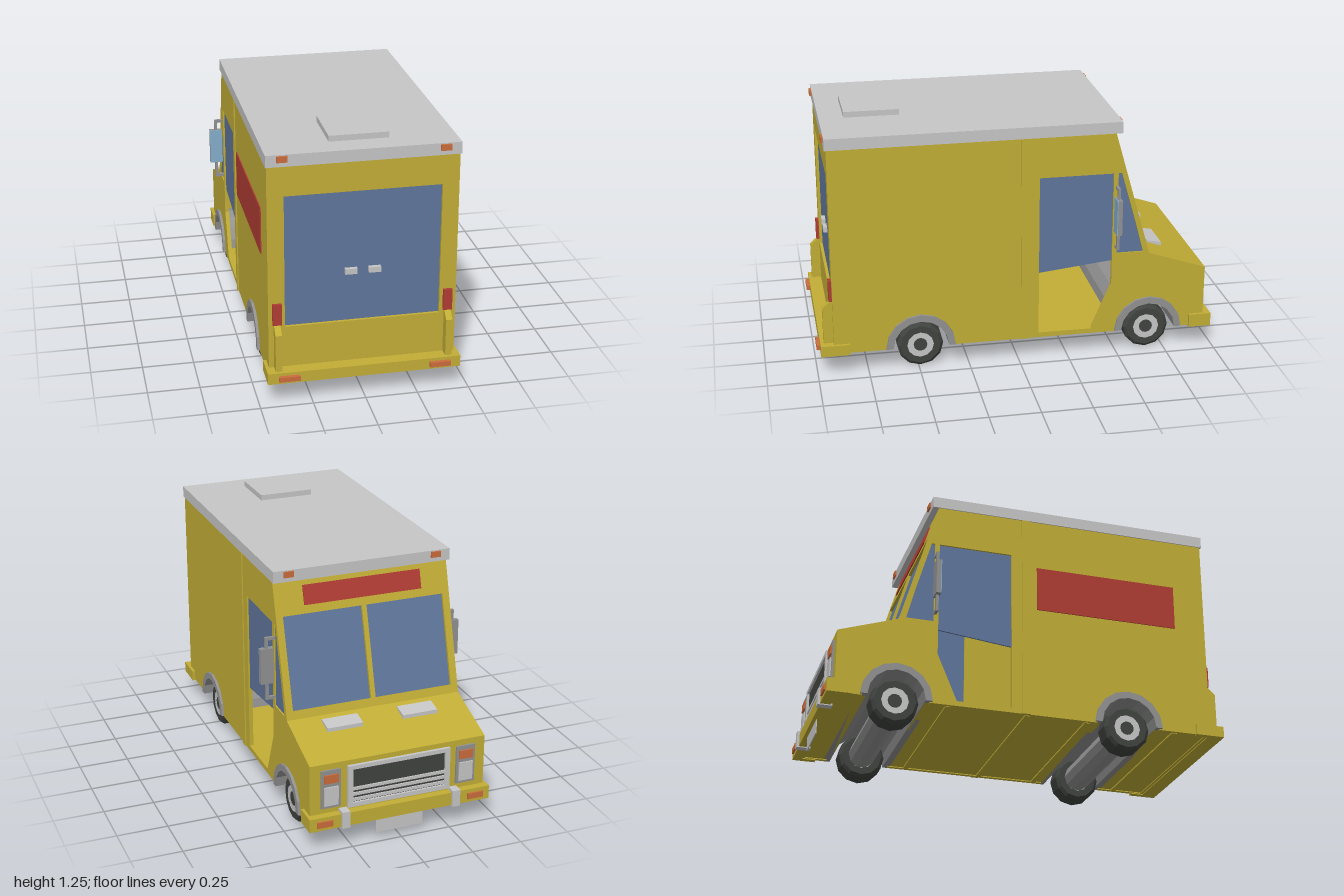
import * as THREE from 'three';

const mat = (name, color) => {
  const m = new THREE.MeshStandardMaterial({ color });
  m.name = name;
  return m;
};

export function createModel() {
  const yellow = mat('bodyYellow', 0xc2ae36);
  const light = mat('lightGrey', 0xc6c6c6);
  const grey = mat('midGrey', 0x929292);
  const dark = mat('tyreDark', 0x40433f);
  const glass = mat('windowBlue', 0x60769c);
  const mirrorBlue = mat('mirrorBlue', 0x86aecb);
  const red = mat('signRed', 0xb03c34);
  const orange = mat('lampOrange', 0xcb6d3c);

  const van = new THREE.Group();
  van.name = 'stepVan';

  const add = (name, geo, material, parent = van) => {
    const mesh = new THREE.Mesh(geo, material);
    mesh.name = name;
    parent.add(mesh);
    return mesh;
  };
  // Box given by its extents
  const box = (name, m, x0, x1, y0, y1, z0, z1, parent = van) => {
    const g = new THREE.BoxGeometry(x1 - x0, y1 - y0, z1 - z0);
    g.translate((x0 + x1) / 2, (y0 + y1) / 2, (z0 + z1) / 2);
    return add(name, g, m, parent);
  };
  // Pair of boxes mirrored across x = 0
  const pair = (name, m, x0, x1, ...rest) => {
    box(name + 'Left', m, x0, x1, ...rest);
    box(name + 'Right', m, -x1, -x0, ...rest);
  };
  const toShape = (pts) => new THREE.Shape(pts.map(([a, b]) => new THREE.Vector2(a, b)));
  const extrude = (pts, holes, depth) => {
    const s = toShape(pts);
    holes.forEach((h) => s.holes.push(toShape(h)));
    return new THREE.ExtrudeGeometry(s, { depth, bevelEnabled: false });
  };
  // Extrude a (z, y) profile between two x positions
  const slab = (name, m, pts, x0, x1, holes = []) =>
    add(name, extrude(pts, holes, x1 - x0).rotateY(-Math.PI / 2).translate(x1, 0, 0), m);
  const rect = (x0, x1, y0, y1) => [[x0, y0], [x1, y0], [x1, y1], [x0, y1]];
  const flat = (g) => {
    const n = g.toNonIndexed();
    n.computeVertexNormals();
    return n;
  };

  // Side walls with wheel cut-outs, door opening and quarter window
  const axles = [0.49, -0.66], axleY = 0.12;
  const arc = (cz, r, from, to) => Array.from({ length: 9 }, (_, i) => {
    const a = from + (to - from) * i / 8;
    return [cz + r * Math.cos(a), axleY + r * Math.sin(a)];
  });
  const wall = [
    [0.915, 0.115], [0.915, 1.17], [-0.47, 1.17], [-0.655, 0.53], [-0.95, 0.43], [-0.95, 0.115],
    [-0.82, 0.115], ...arc(-0.66, 0.16, Math.PI, 0), [-0.5, 0.115],
    [0.33, 0.115], ...arc(0.49, 0.16, Math.PI, 0), [0.65, 0.115],
  ];
  const door = [[-0.1, 0.14], [-0.1, 0.96], [-0.467, 0.96], [-0.467, 0.37], [-0.37, 0.14]];
  const quarter = [[-0.49, 0.54], [-0.49, 0.96], [-0.512, 0.96], [-0.625, 0.54]];
  const doorGlass = [[-0.09, 0.46], [-0.09, 0.97], [-0.475, 0.97], [-0.475, 0.502]];
  for (const s of [1, -1]) {
    const side = s > 0 ? 'Left' : 'Right';
    const span = (a, b) => (s > 0 ? [a, b] : [-b, -a]);
    slab('sideWall' + side, yellow, wall, ...span(0.425, 0.445), [door, quarter]);
    slab('doorWindow' + side, glass, doorGlass, ...span(0.428, 0.436));
    slab('quarterWindow' + side, glass, quarter, ...span(0.43, 0.438));
    box('doorPost' + side, yellow, ...span(0.44, 0.451), 0.115, 1.165, -0.047, -0.01);
    // Upright brackets carrying the tail lights
    slab('tailBracket' + side, yellow,
      [[0.91, 0.16], [0.965, 0.16], [0.965, 0.35], [0.91, 0.4]], ...span(0.39, 0.42));
    // Door mirrors
    const [mx0, mx1] = span(0.45, 0.515);
    box('mirrorHousing' + side, grey, mx0, mx1, 0.66, 0.84, -0.497, -0.475);
    box('mirrorGlass' + side, mirrorBlue, mx0, mx1, 0.66, 0.84, -0.475, -0.471);
    box('mirrorBar' + side, grey, ...span(0.475, 0.49), 0.575, 0.895, -0.492, -0.478);
    for (const y of [0.575, 0.88])
      box('mirrorArm' + side, grey, ...span(0.435, 0.476), y, y + 0.015, -0.492, -0.478);
  }
  slab('sideSign', red, rect(0.03, 0.755, 0.675, 0.905), -0.45, -0.444);

  // Rear wall with window and handles
  add('rearWall', extrude(rect(-0.445, 0.445, 0.115, 1.17), [rect(-0.367, 0.367, 0.37, 1.02)], 0.025)
    .translate(0, 0, 0.892), yellow);
  box('rearWindow', glass, -0.37, 0.37, 0.365, 1.025, 0.894, 0.902);
  pair('rearHandle', light, 0.027, 0.084, 0.61, 0.637, 0.9, 0.922);

  // Sloped windscreen panel
  const screen = new THREE.Group();
  screen.name = 'windscreen';
  screen.position.set(0, 0.53, -0.655);
  screen.rotation.x = Math.atan2(0.185, 0.64);
  van.add(screen);
  add('windscreenFrame', extrude(rect(-0.445, 0.445, 0, 0.664),
    [rect(-0.41, -0.012, 0.04, 0.49), rect(0.012, 0.41, 0.04, 0.49)], 0.025).translate(0, 0, -0.002), yellow, screen);
  box('windscreenGlass', glass, -0.42, 0.42, 0.03, 0.5, 0.012, 0.02, screen);
  box('frontSign', red, -0.3, 0.3, 0.53, 0.625, -0.008, -0.001, screen);

  // Bonnet, nose and floor
  slab('bonnet', yellow, [[-0.655, 0.53], [-0.655, 0.51], [-0.95, 0.41], [-0.95, 0.43]], -0.426, 0.426);
  box('nose', yellow, -0.426, 0.426, 0.115, 0.428, -0.95, -0.93);
  for (const [z0, z1] of [[0.63, 0.9], [-0.52, 0.35], [-0.94, -0.8]])
    box('floor', yellow, -0.427, 0.427, 0.12, 0.138, z0, z1);
  for (const z of [-0.42, -0.03, 0.27, 0.72])
    box('floorBeam', yellow, -0.43, 0.43, 0.112, 0.125, z, z + 0.025);
  for (const s of [1, -1])
    slab('bonnetVent', light, [[-0.69, 0.51], [-0.69, 0.527], [-0.765, 0.512], [-0.765, 0.48]],
      s * 0.193 - 0.09, s * 0.193 + 0.09);

  // Roof and hatch
  box('roof', light, -0.45, 0.45, 1.165, 1.222, -0.505, 0.925);
  box('roofHatch', light, -0.14, 0.14, 1.22, 1.25, 0.535, 0.805);
  pair('rearRoofLamp', orange, 0.35, 0.4, 1.188, 1.217, 0.92, 0.935);
  pair('frontRoofLamp', orange, 0.35, 0.4, 1.188, 1.217, -0.513, -0.5);

  // Bumpers and their lamps
  box('rearBumper', yellow, -0.46, 0.46, 0.11, 0.165, 0.905, 0.982);
  pair('rearBumperEnd', yellow, 0.43, 0.46, 0.11, 0.165, 0.84, 0.91);
  pair('rearBumperLamp', orange, 0.31, 0.41, 0.126, 0.15, 0.98, 1.0);
  pair('tailLight', red, 0.383, 0.426, 0.387, 0.492, 0.91, 0.932);
  box('frontBumper', yellow, -0.46, 0.46, 0.11, 0.177, -0.988, -0.94);
  pair('frontBumperEnd', yellow, 0.43, 0.46, 0.11, 0.177, -0.988, -0.875);
  pair('frontBumperLamp', orange, 0.345, 0.425, 0.128, 0.158, -0.997, -0.985);
  pair('bumperGuard', light, 0.262, 0.302, 0.105, 0.19, -1.0, -0.93);
  box('numberPlate', light, -0.12, 0.12, 0.033, 0.105, -0.972, -0.968);

  // Grille and headlights
  add('grilleFrame', extrude(rect(-0.26, 0.26, 0.19, 0.405), [rect(-0.235, 0.235, 0.212, 0.385)], 0.017)
    .translate(0, 0, -0.966), light);
  box('grilleBack', dark, -0.24, 0.24, 0.205, 0.39, -0.955, -0.948);
  for (let i = 0; i < 3; i++)
    box('grilleBar', light, -0.238, 0.238, 0.218 + i * 0.028, 0.233 + i * 0.028, -0.962, -0.954);
  pair('headlightFrame', grey, 0.295, 0.392, 0.205, 0.4, -0.96, -0.948);
  pair('headlight', light, 0.308, 0.379, 0.22, 0.315, -0.967, -0.959);
  pair('turnLamp', orange, 0.308, 0.379, 0.335, 0.378, -0.967, -0.959);

  // Wheels, axles and arches running across the body
  const turn = (pts, n = 12) => flat(new THREE.LatheGeometry(pts.map(([r, a]) => new THREE.Vector2(r, a)), n))
    .rotateZ(-Math.PI / 2);
  const tyre = turn([[0.066, -0.055], [0.1, -0.055], [0.115, -0.042], [0.115, 0.042], [0.1, 0.055], [0.066, 0.055]]);
  const rim = turn([[0.001, -0.05], [0.068, -0.05], [0.068, 0.05], [0.001, 0.05]]);
  const hub = turn([[0.001, -0.054], [0.034, -0.054], [0.034, 0.054], [0.001, 0.054]]);
  for (const z of axles) {
    for (const s of [1, -1]) {
      const wheel = new THREE.Group();
      wheel.name = 'wheel';
      wheel.position.set(s * 0.367, axleY - 0.004, z);
      add('tyre', tyre, dark, wheel);
      add('rim', rim, light, wheel);
      add('hub', hub, dark, wheel);
      van.add(wheel);
    }
    const axle = add('axle', turn([[0.001, -0.32], [0.068, -0.32], [0.068, 0.32], [0.001, 0.32]], 10), grey);
    axle.position.set(0, axleY, z);
    slab('wheelArch', grey, [...arc(z, 0.172, 0, Math.PI), ...arc(z, 0.138, Math.PI, 0)], -0.458, 0.458);
  }
  return van;
}
